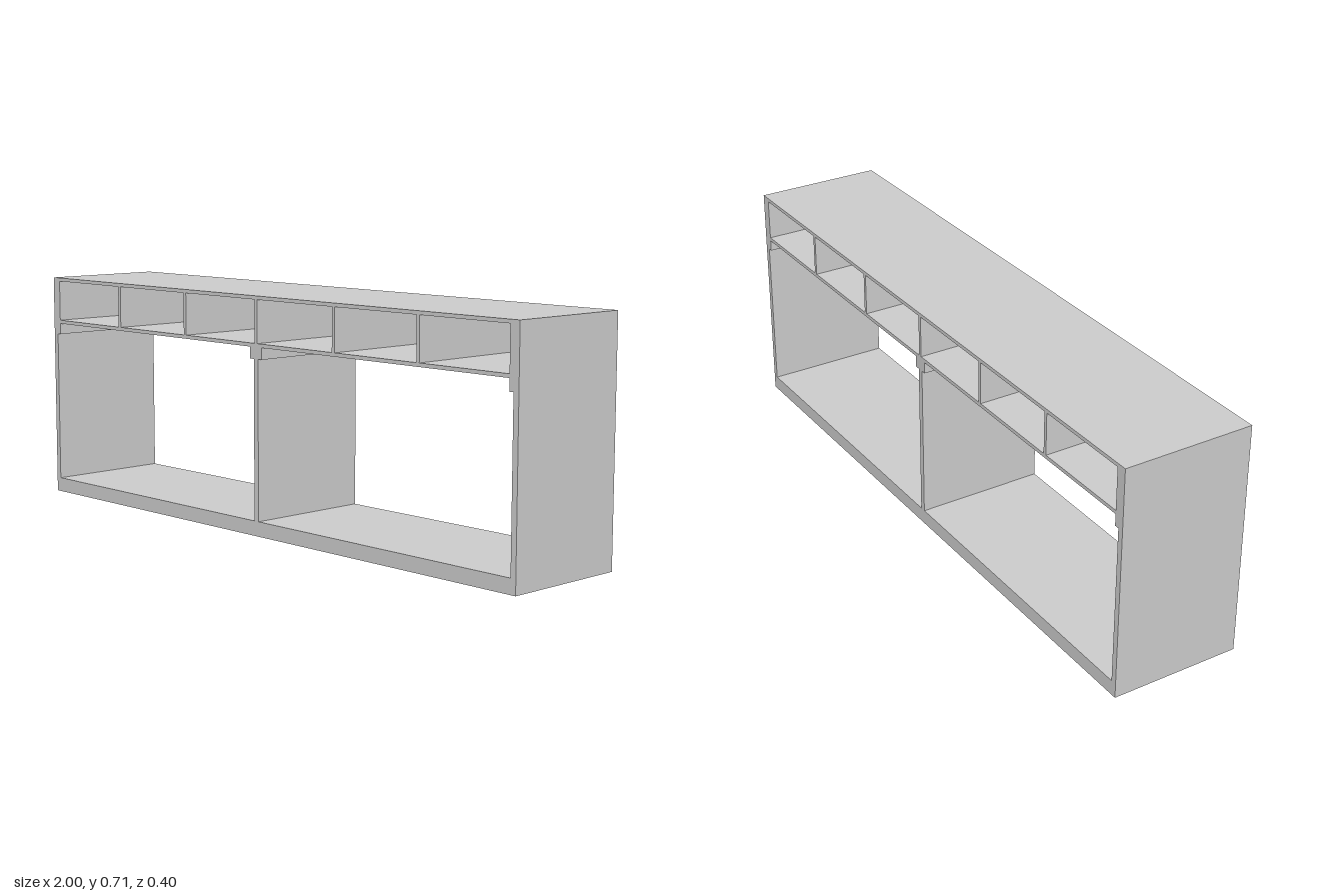
import * as THREE from 'three';

const W = 2, H = 0.712, D = 0.4;
const T = 0.018;      // main panel thickness
const THIN = 0.011;   // cubby board thickness

export function createModel() {
  const group = new THREE.Group();
  const material = new THREE.MeshStandardMaterial({ color: 0xcccccc, flatShading: true });

  // Box given by its x, y and z extents
  const board = (name, x0, x1, y0, y1, z0 = -D / 2, z1 = D / 2) => {
    const mesh = new THREE.Mesh(new THREE.BoxGeometry(x1 - x0, y1 - y0, z1 - z0), material);
    mesh.position.set((x0 + x1) / 2, (y0 + y1) / 2, (z0 + z1) / 2);
    mesh.name = name;
    group.add(mesh);
  };

  const inner = W / 2 - T;     // inside face of the side panels
  const baseTop = 0.045, deckBottom = 0.027;
  const trayBottom = 0.562, trayFloor = trayBottom + THIN;
  const topBottom = H - THIN;

  // Top and shelf deck
  board('top', -W / 2, W / 2, topBottom, H);
  board('bottomShelf', -inner, inner, deckBottom, baseTop);

  // Base frame under the deck, open from below
  board('frontBaseRail', -inner, inner, 0, deckBottom, D / 2 - T, D / 2);
  board('backBaseRail', -inner, inner, 0, deckBottom, -D / 2, -D / 2 + T);
  board('middleBaseRail', -T / 2, T / 2, 0, deckBottom, -D / 2 + T, D / 2 - T);

  // Upright divider and the cubby floor above it
  board('centrePanel', -T / 2, T / 2, baseTop, trayBottom);
  board('cubbyFloor', -inner, inner, trayBottom, trayFloor);

  // Mirrored side parts
  for (const [side, s] of [['left', 1], ['right', -1]]) {
    const pair = (name, a, b, ...rest) =>
      board(side + name, Math.min(s * a, s * b), Math.max(s * a, s * b), ...rest);
    pair('SidePanel', inner, W / 2, 0, topBottom);
    pair('BaseEndRail', inner - T, inner, 0, deckBottom, -D / 2 + T, D / 2 - T);
    pair('CubbyWall', inner - 0.014, inner, trayFloor, topBottom);
    pair('SideCleat', inner - 0.014, inner, 0.527, trayBottom);
    pair('CentreCleat', T / 2, 0.025, 0.527, trayBottom);
  }

  // Five dividers making six cubbies
  for (let i = -2; i <= 2; i++) {
    const x = i * 0.324;
    board('cubbyDivider', x - THIN / 2, x + THIN / 2, trayFloor, topBottom);
  }
  return group;
}
